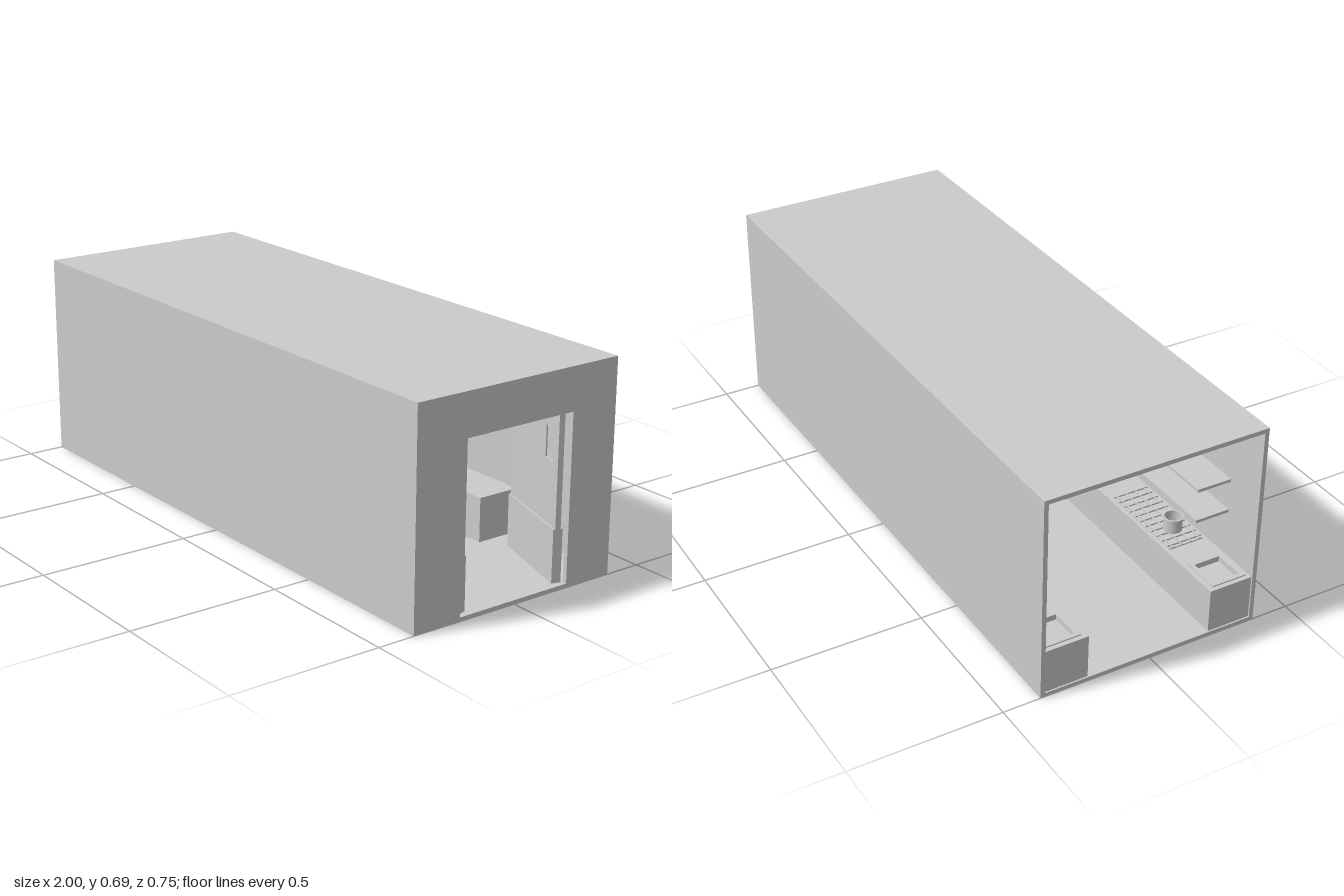
import * as THREE from 'three';

const mat = new THREE.MeshStandardMaterial({ color: 0xcccccc, side: THREE.DoubleSide, flatShading: true });
const smooth = new THREE.MeshStandardMaterial({ color: 0xcccccc, side: THREE.DoubleSide });

// Box given by its min and max corners
function box(parent, name, x0, x1, y0, y1, z0, z1) {
  const m = new THREE.Mesh(new THREE.BoxGeometry(x1 - x0, y1 - y0, z1 - z0), mat);
  m.position.set((x0 + x1) / 2, (y0 + y1) / 2, (z0 + z1) / 2);
  m.name = name;
  parent.add(m);
  return m;
}

function rect(target, x0, x1, y0, y1) {
  target.moveTo(x0, y0).lineTo(x1, y0).lineTo(x1, y1).lineTo(x0, y1).closePath();
  return target;
}

// Flat slab in the xz plane with rectangular holes [x0, x1, z0, z1], lying on height y
function slab(parent, name, [x0, x1, z0, z1], holes, y, t) {
  const s = rect(new THREE.Shape(), x0, x1, -z1, -z0);
  for (const h of holes) s.holes.push(rect(new THREE.Path(), h[0], h[1], -h[3], -h[2]));
  const m = new THREE.Mesh(new THREE.ExtrudeGeometry(s, { depth: t, bevelEnabled: false }), mat);
  m.rotation.x = -Math.PI / 2;
  m.position.y = y;
  m.name = name;
  parent.add(m);
}

// Door leaf hinged at the doorway and swung inwards; side is +1 or -1 in z
function doorLeaf(side) {
  const g = new THREE.Group();
  const L = 0.32, T = 0.0175;
  const s = rect(new THREE.Shape(), -L, 0, 0.0135, 0.549);
  s.holes.push(rect(new THREE.Path(), -0.085, -0.035, 0.385, 0.485));
  const leaf = new THREE.Mesh(new THREE.ExtrudeGeometry(s, { depth: T, bevelEnabled: false }), mat);
  leaf.position.z = -T / 2;
  leaf.name = 'doorPanel';
  g.add(leaf);
  box(g, 'doorWindow', -0.085, -0.035, 0.385, 0.485, -0.004, 0.004);
  box(g, 'doorKickPanel', -L, 0, 0.0135, 0.185, -0.015, 0.015);
  g.position.set(0.98, 0, side * 0.183);
  g.rotation.y = side * 0.31;
  g.name = side > 0 ? 'leftDoor' : 'rightDoor';
  return g;
}

// Cooking grate made of crossing bars on a dark plate
function grate(parent, x0, x1, z0, z1, y) {
  const g = new THREE.Group();
  g.name = 'stoveTop';
  box(g, 'stovePlate', x0, x1, y, y + 0.004, z0, z1);
  for (let x = x0 + 0.01; x < x1 - 0.005; x += 0.03) box(g, 'grateBar', x, x + 0.005, y + 0.004, y + 0.009, z0, z1);
  for (let i = 0; i < 4; i++) {
    const z = z0 + 0.01 + i * (z1 - z0 - 0.025) / 3;
    box(g, 'grateCrossBar', x0, x1, y + 0.004, y + 0.008, z, z + 0.005);
  }
  parent.add(g);
}

export function createModel() {
  const root = new THREE.Group();
  root.name = 'kitchenContainer';
  const W = 0.376, H = 0.688, t = 0.0145, F = 0.0125;

  // Shell: floor, roof and long walls, open at the -x end
  box(root, 'floor', -1, 1, 0, F, -W, W);
  box(root, 'roof', -1, 1, H - t, H, -W, W);
  for (const s of [-1, 1]) {
    const z = s * (W - t / 2);
    box(root, s > 0 ? 'frontWall' : 'backWall', -1, 1, F, H - t, z - t / 2, z + t / 2);
  }

  // End wall with the doorway
  const zi = W - t, d = 0.206;
  const wall = new THREE.Shape();
  [[-zi, F], [-d, F], [-d, 0.55], [d, 0.55], [d, F], [zi, F], [zi, H - t], [-zi, H - t]]
    .forEach(([a, b], i) => (i ? wall.lineTo(a, b) : wall.moveTo(a, b)));
  const end = new THREE.Mesh(new THREE.ExtrudeGeometry(wall, { depth: t, bevelEnabled: false }), mat);
  end.rotation.y = Math.PI / 2;
  end.position.x = 1 - t;
  end.name = 'doorwayWall';
  root.add(end, doorLeaf(1), doorLeaf(-1));

  // Counters along both walls, with sink recesses in their tops
  const x0 = -0.995, x1 = 0.6, top = 0.16, c = 0.213;
  box(root, 'frontCounter', x0, x1, F, 0.145, c, zi);
  slab(root, 'frontCounterTop', [x0, x1, c, zi], [[-0.965, -0.865, 0.245, 0.335]], 0.145, 0.015);
  slab(root, 'sinkRim', [-0.98, -0.85, 0.23, 0.35], [[-0.965, -0.865, 0.245, 0.335]], top, 0.004);
  box(root, 'backCounter', x0, x1, F, 0.145, -zi, -c);
  slab(root, 'backCounterTop', [x0, x1, -zi, -c], [[-0.965, -0.865, -0.335, -0.245]], 0.145, 0.015);
  slab(root, 'backSinkRim', [-0.98, -0.85, -0.35, -0.23], [[-0.965, -0.865, -0.335, -0.245]], top, 0.004);

  // Stove with a pot
  grate(root, -0.76, -0.44, 0.225, 0.35, top);
  const pot = new THREE.Group();
  pot.name = 'pot';
  const profile = [[0, 0], [0.03, 0], [0.03, 0.045], [0.033, 0.045], [0.033, 0.048], [0.027, 0.048], [0.027, 0.004], [0, 0.004]];
  const potBody = new THREE.Mesh(
    new THREE.LatheGeometry(profile.flatMap(p => [new THREE.Vector2(...p), new THREE.Vector2(...p)]), 24), smooth);
  potBody.name = 'potBody';
  pot.add(potBody);
  pot.position.set(-0.68, top + 0.009, 0.29);
  root.add(pot);

  // Wall shelves
  for (const y of [0.315, 0.425]) box(root, 'shelf', -0.86, 0.4, y, y + 0.01, 0.243, zi);

  // Oven in the back counter, its door folded half open
  box(root, 'ovenFront', -0.02, 0.22, 0.02, 0.14, -c, -c + 0.003);
  const oven = new THREE.Group();
  oven.name = 'ovenDoor';
  box(oven, 'ovenDoorPanel', 0, 0.22, 0, 0.135, -0.005, 0.005);
  oven.position.set(-0.01, 0.022, -c + 0.006);
  oven.rotation.x = Math.PI / 4;
  root.add(oven);

  return root;
}
